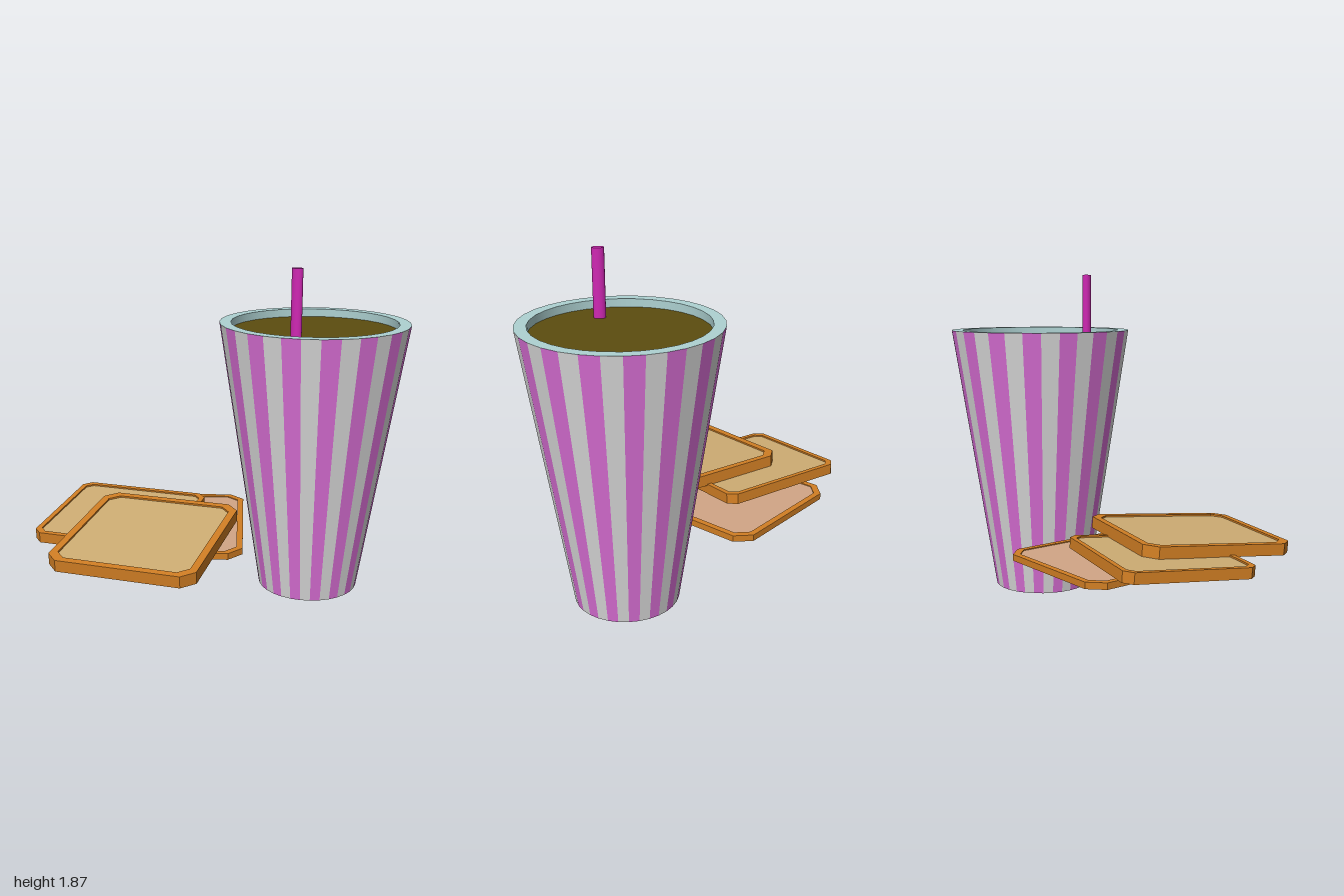
import * as THREE from 'three';

const mat = (name, color, extra = {}) => {
  const m = new THREE.MeshStandardMaterial({ color, ...extra });
  m.name = name;
  return m;
};

// Rectangle outline with cut corners
function cutRect(w, d, c, Type = THREE.Shape) {
  const x = w / 2, y = d / 2;
  const pts = [[-x + c, -y], [x - c, -y], [x, -y + c], [x, y - c],
    [x - c, y], [-x + c, y], [-x, y - c], [-x, -y + c]];
  return new Type(pts.map(([a, b]) => new THREE.Vector2(a, b)));
}

// Flat slab lying in the xz plane, centred on its own origin
function slab(shape, thickness) {
  const g = new THREE.ExtrudeGeometry(shape, { depth: thickness, bevelEnabled: false });
  g.translate(0, 0, -thickness / 2);
  g.rotateX(-Math.PI / 2);
  return g;
}

export function createModel() {
  const model = new THREE.Group();
  model.name = 'drinkAndToast';

  const white = mat('paperWhite', 0xdcdcdc, { flatShading: true });
  const pink = mat('stripePink', 0xdc70d8, { flatShading: true });
  const rimBlue = mat('rimBlue', 0xaed2d2);
  const drink = mat('drinkBrown', 0x5c4d0f);
  const strawPink = mat('strawMagenta', 0xd028b4);
  const crust = mat('crustOrange', 0xd27f24);
  const bread = mat('breadTan', 0xd0ae74);
  const rosyBread = mat('breadRosy', 0xd2a686);

  const add = (parent, name, geometry, material, x = 0, y = 0, z = 0) => {
    const mesh = new THREE.Mesh(geometry, material);
    mesh.name = name;
    mesh.position.set(x, y, z);
    parent.add(mesh);
    return mesh;
  };

  // Cup
  const H = 1.545, R = 0.527, INNER = 0.463, LEVEL = 1.5, SIDES = 32;
  const cup = new THREE.Group();
  cup.name = 'cup';
  cup.position.set(0.469, 0, 0.377);
  model.add(cup);

  // Striped wall: every other side is pink
  const wall = new THREE.CylinderGeometry(R, 0.286, H, SIDES, 1, true);
  wall.clearGroups();
  for (let i = 0; i < SIDES; i++) wall.addGroup(i * 6, 6, i % 2);
  add(cup, 'stripedWall', wall, [pink, white], 0, H / 2, 0);

  const base = new THREE.CircleGeometry(0.286, SIDES, Math.PI / 2);
  base.rotateX(Math.PI / 2);
  add(cup, 'cupBase', base, white);

  // Rim top and the inner wall down to the drink
  const rim = new THREE.RingGeometry(INNER, R, SIDES, 1, Math.PI / 2);
  rim.rotateX(-Math.PI / 2);
  add(cup, 'rim', rim, rimBlue, 0, H, 0);

  const lining = new THREE.CylinderGeometry(INNER, INNER, H - LEVEL, SIDES, 1, true);
  lining.scale(-1, 1, 1); // turned to face inward
  const n = lining.attributes.normal;
  for (let i = 0; i < n.count; i++) n.setXYZ(i, -n.getX(i), -n.getY(i), -n.getZ(i));
  add(cup, 'innerWall', lining, rimBlue, 0, (H + LEVEL) / 2, 0);

  const surface = new THREE.CircleGeometry(INNER, SIDES, Math.PI / 2);
  surface.rotateX(-Math.PI / 2);
  add(cup, 'drink', surface, drink, 0, LEVEL, 0);

  // Straw, slightly oval
  const straw = new THREE.CylinderGeometry(1, 1, 0.57, 16);
  straw.scale(0.026, 1, 0.033);
  add(cup, 'straw', straw, strawPink, -0.265, 1.585, 0.103);

  // Toast slices: a crust frame around a slightly sunken panel
  const slices = [
    { name: 'topSlice', w: 0.89, d: 0.82, t: 0.065, c: 0.067, border: 0.042, fill: bread,
      pos: [-0.439, 0.4125, -0.005], turn: 30, tilt: 0.079 },
    { name: 'middleSlice', w: 0.747, d: 0.8, t: 0.06, c: 0.045, border: 0.03, fill: bread,
      pos: [-0.306, 0.3825, -0.387], turn: 30, tilt: 0.073 },
    { name: 'bottomSlice', w: 0.95, d: 0.82, t: 0.036, c: 0.08, border: 0.035, fill: rosyBread,
      pos: [-0.067, 0.3275, -0.209], turn: 45, tilt: 0 },
  ];
  for (const s of slices) {
    const slice = new THREE.Group();
    slice.name = s.name;
    slice.position.set(...s.pos);
    slice.rotation.set(0, THREE.MathUtils.degToRad(s.turn), s.tilt, 'YXZ');
    model.add(slice);

    const inner = [s.w - 2 * s.border, s.d - 2 * s.border, s.c * 0.8];
    const frame = cutRect(s.w, s.d, s.c);
    frame.holes.push(cutRect(...inner, THREE.Path));
    add(slice, 'crust', slab(frame, s.t), crust);
    add(slice, 'breadPanel', slab(cutRect(...inner), s.t * 0.7), s.fill);
  }
  return model;
}
